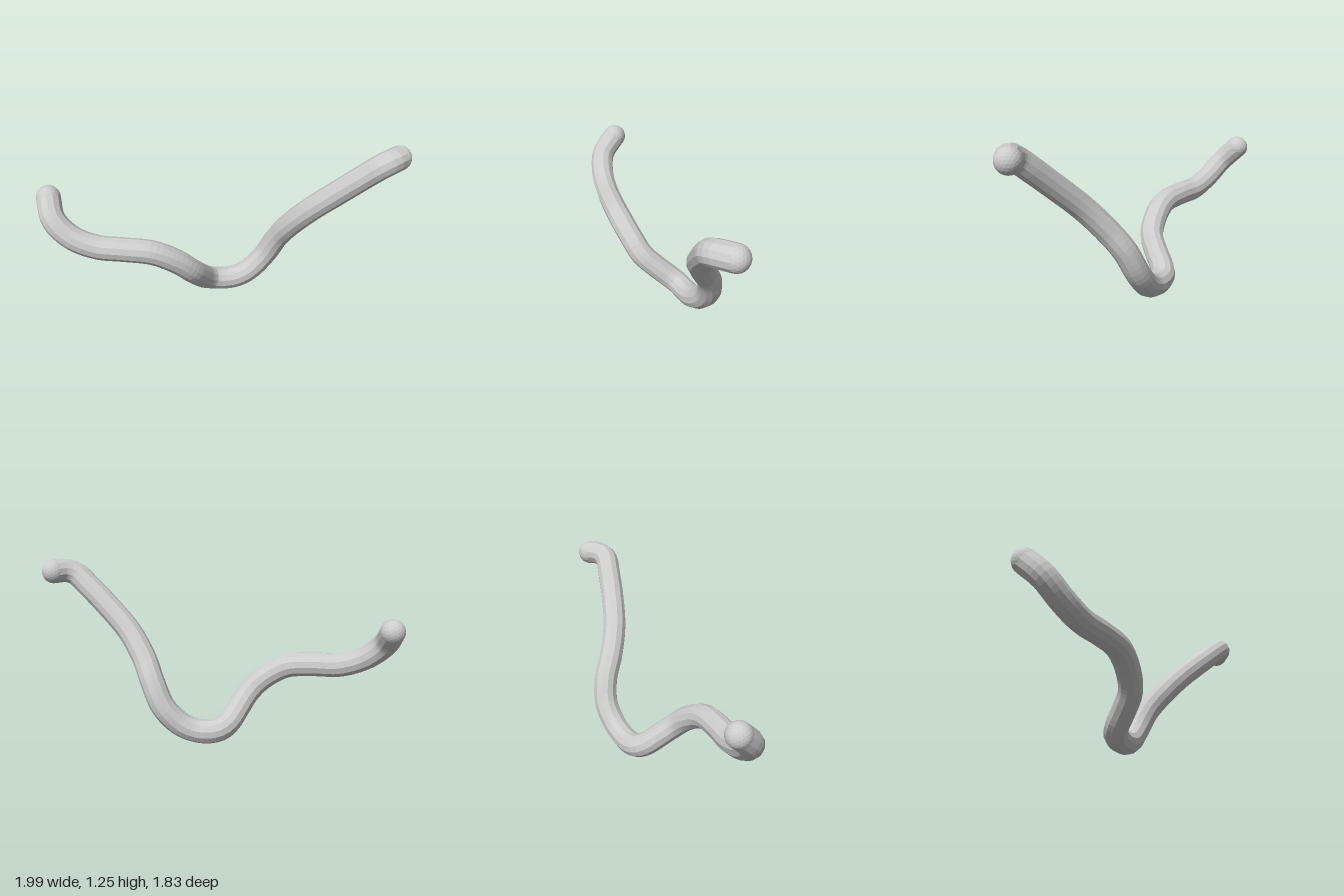
import * as THREE from 'three';

const RADIUS = 0.087;

// Centreline of the bent rod, from the back right end to the front left end
const PATH = [
  [-0.87, 0.845, -0.835], [-0.912, 0.725, -0.72], [-0.85, 0.61, -0.6],
  [-0.73, 0.542, -0.47], [-0.6, 0.53, -0.335], [-0.45, 0.505, -0.2],
  [-0.3, 0.41, -0.115], [-0.2, 0.315, -0.088], [-0.1, 0.225, -0.115],
  [0, 0.142, -0.15], [0.07, 0.105, -0.152], [0.15, 0.088, -0.115],
  [0.23, 0.097, -0.062], [0.32, 0.145, -0.01], [0.42, 0.27, 0.055],
  [0.46, 0.44, 0.14], [0.466, 0.58, 0.25], [0.505, 0.75, 0.405],
  [0.6, 0.925, 0.58], [0.69, 1.06, 0.715], [0.75, 1.138, 0.795],
  [0.82, 1.165, 0.825], [0.91, 1.165, 0.82],
].map((p) => new THREE.Vector3(...p));

export function createModel() {
  const group = new THREE.Group();
  group.name = 'bentRod';
  const grey = new THREE.MeshStandardMaterial({ color: 0xcccccc, flatShading: true });
  grey.name = 'light grey';

  // Faceted tube along the centreline
  const curve = new THREE.CatmullRomCurve3(PATH, false, 'centripetal');
  const tube = new THREE.Mesh(new THREE.TubeGeometry(curve, 96, RADIUS, 12, false), grey);
  tube.name = 'rod';
  group.add(tube);

  // Rounded ends
  const ends = { backEnd: PATH[0], frontEnd: PATH[PATH.length - 1] };
  for (const [name, position] of Object.entries(ends)) {
    const cap = new THREE.Mesh(new THREE.IcosahedronGeometry(RADIUS, 3), grey);
    cap.name = name;
    cap.position.copy(position);
    group.add(cap);
  }
  return group;
}
